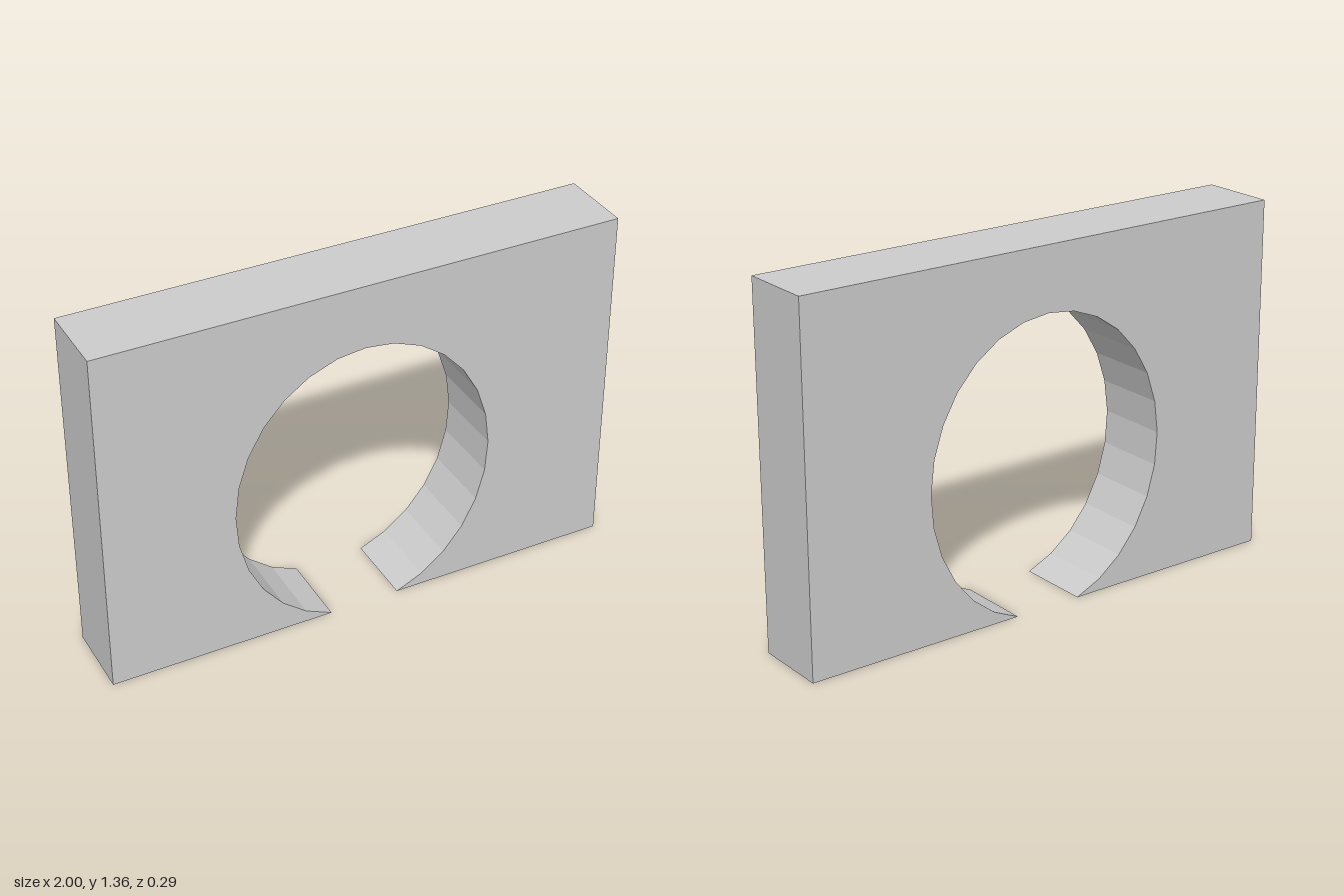
import * as THREE from 'three';

const WIDTH = 2, BASE = 0.005, TOP = 1.365, DEPTH = 0.29;
const HOLE = { y: 0.552, rx: 0.505, ry: 0.568, segments: 26 };

// Rectangular outline whose bottom edge is broken by an oval opening
function wallOutline() {
  const shape = new THREE.Shape();
  const start = Math.asin((BASE - HOLE.y) / HOLE.ry); // where the oval meets the base, on +x
  const sweep = Math.PI - 2 * start;
  shape.moveTo(-WIDTH / 2, BASE);
  for (let i = HOLE.segments; i >= 0; i--) {
    const a = start + (sweep * i) / HOLE.segments;
    shape.lineTo(HOLE.rx * Math.cos(a), HOLE.y + HOLE.ry * Math.sin(a));
  }
  shape.lineTo(WIDTH / 2, BASE);
  shape.lineTo(WIDTH / 2, TOP);
  shape.lineTo(-WIDTH / 2, TOP);
  shape.closePath();
  return shape;
}

export function createModel() {
  const group = new THREE.Group();
  group.name = 'archedWall';

  // Solid wall panel with faceted opening
  const geometry = new THREE.ExtrudeGeometry(wallOutline(), { depth: DEPTH, bevelEnabled: false });
  geometry.translate(0, 0, -DEPTH / 2);
  const material = new THREE.MeshStandardMaterial({ color: 0xcccccc, flatShading: true });
  const wall = new THREE.Mesh(geometry, material);
  wall.name = 'wallPanel';
  group.add(wall);

  return group;
}
